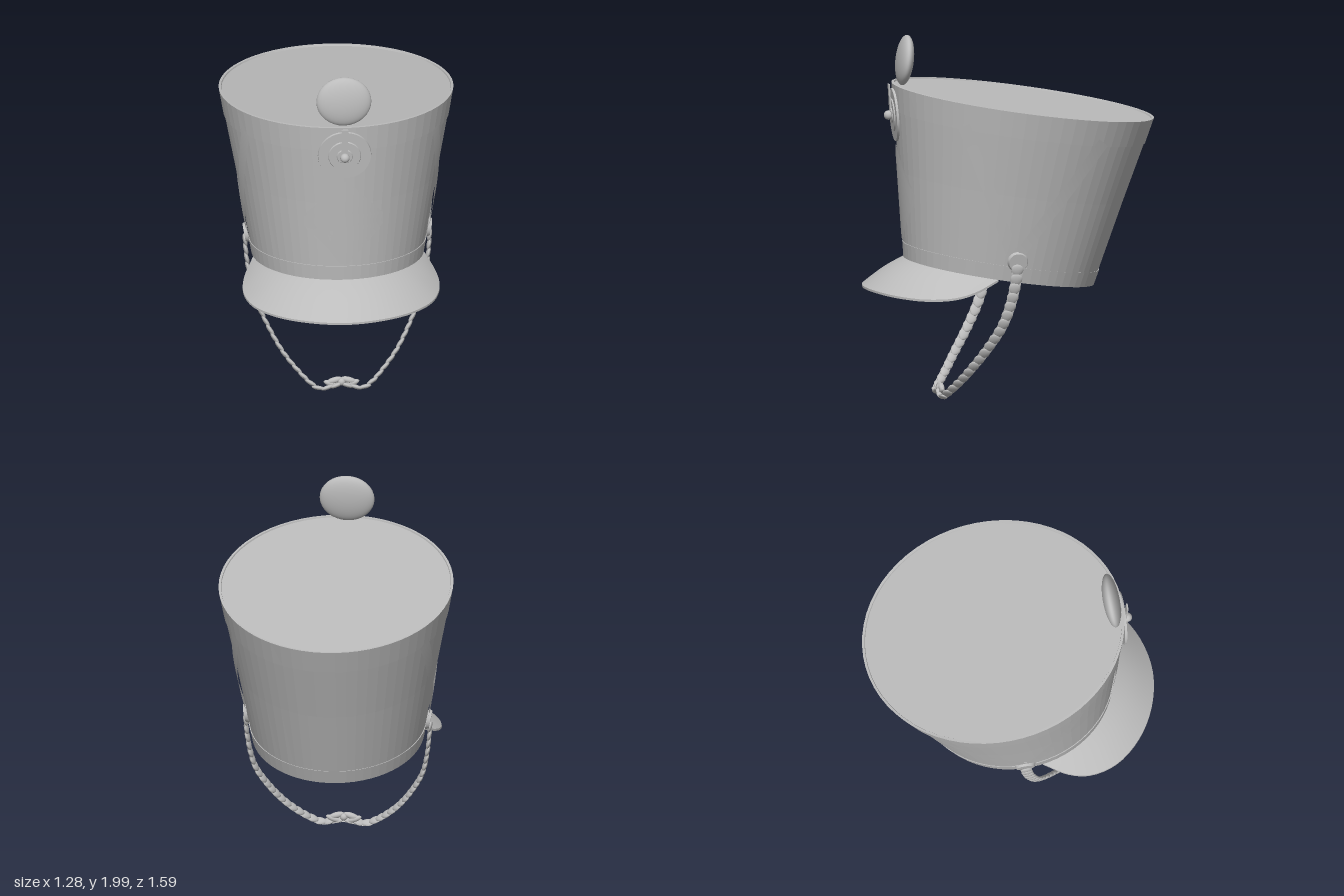
import * as THREE from 'three';

const grey = new THREE.MeshStandardMaterial({ color: 0xbcbcbc, side: THREE.DoubleSide });
grey.name = 'plain grey';

// Surface from a rule f(u, v) -> [x, y, z]; flat gives facets
function grid(nu, nv, f, flat = false) {
  const pos = [], idx = [];
  for (let j = 0; j <= nv; j++)
    for (let i = 0; i <= nu; i++) pos.push(...f(i / nu, j / nv));
  for (let j = 0; j < nv; j++)
    for (let i = 0; i < nu; i++) {
      const a = j * (nu + 1) + i, b = a + nu + 1;
      idx.push(a, a + 1, b, a + 1, b + 1, b);
    }
  let g = new THREE.BufferGeometry();
  g.setAttribute('position', new THREE.Float32BufferAttribute(pos, 3));
  g.setIndex(idx);
  if (flat) g = g.toNonIndexed();
  g.computeVertexNormals();
  return g;
}

// Slanted, flaring elliptical hull: t from bottom to top, angle a from the front
const lerp = THREE.MathUtils.lerp;
const dims = t => ({
  cz: lerp(0.05, -0.0825, t), rz: lerp(0.515, 0.7125, t), rx: lerp(0.465, 0.635, t),
  cy: lerp(0.70, 1.6325, t), hy: lerp(0.08, 0.1025, t),
});
function hull(t, a, off = 0) {
  const d = dims(t);
  return [(d.rx + off) * Math.sin(a), d.cy + d.hy * Math.cos(a), d.cz + (d.rz + off) * Math.cos(a)];
}
// Height fraction for a given y and cosine of the angle
const heightAt = (y, c) => (y - 0.70 - 0.08 * c) / (0.9325 + 0.0225 * c);

// Point on the hull's left side at a given y, z
function sideAt(y, z, off) {
  let t = 0.5, c = 0;
  for (let k = 0; k < 8; k++) {
    const d = dims(t);
    c = (z - d.cz) / d.rz;
    t = heightAt(y, c);
  }
  return [dims(t).rx * Math.sqrt(1 - c * c) + off, y, z];
}
// Point on the hull's front at a given x, y
function frontAt(x, y, off) {
  let t = 0.5, c = 1;
  for (let k = 0; k < 8; k++) {
    c = Math.sqrt(1 - (x / dims(t).rx) ** 2);
    t = heightAt(y, c);
  }
  const d = dims(t);
  return [x, y, d.cz + d.rz * c + off];
}

// Ring of hull cross-sections along a profile of [t, offset]
function ring(profile) {
  const n = profile.length - 1;
  return grid(64, n, (u, v) => {
    const [t, off] = profile[Math.round(v * n)];
    return hull(t, u * Math.PI * 2, off);
  }, true);
}

export function createModel() {
  const model = new THREE.Group();
  model.name = 'shakoHat';
  const add = (geo, name, parent = model) => {
    const m = new THREE.Mesh(geo, grey);
    m.name = name;
    parent.add(m);
    return m;
  };

  // Hat body, bands and crown
  add(ring([[0, 0], [0.5, -0.003], [1, 0], [1, -0.01], [0.97, -0.014], [0.5, -0.017], [0, -0.018], [0, 0]]), 'body');
  add(ring([[0.85, -0.002], [0.85, 0.004], [1, 0.003], [1, -0.003]]), 'upperBand');
  add(ring([[0, -0.002], [0, 0.004], [0.088, 0.004], [0.088, -0.002]]), 'lowerBand');
  const top = hull(0.992, Math.PI / 2);
  add(grid(64, 1, (u, v) => {
    const p = hull(0.992, u * Math.PI * 2, -0.008);
    return v < 0.5 ? p : [0, top[1], dims(0.992).cz];
  }, true), 'crown');

  // Visor: sloping sheet between the hat's lower edge and an outer curve
  const half = [[0, 0.63, 0.795], [0.2, 0.628, 0.757], [0.37, 0.62, 0.66], [0.49, 0.615, 0.52],
    [0.535, 0.625, 0.37], [0.522, 0.655, 0.25], [0.465, 0.712, 0.12]];
  const outer = new THREE.CatmullRomCurve3(
    [...half.slice(1).reverse().map(([x, y, z]) => [-x, y, z]), ...half].map(p => new THREE.Vector3(...p)));
  const visorPoint = (u, v, drop) => {
    const o = outer.getPoint(u), i = hull(0, (u * 2 - 1) * 1.434);
    const bulge = 0.012 * Math.sin(Math.PI * v) * Math.sin(Math.PI * u);
    return [lerp(i[0], o.x, v), lerp(i[1], o.y, v) + bulge - drop, lerp(i[2], o.z, v)];
  };
  const visor = new THREE.Group();
  visor.name = 'visor';
  model.add(visor);
  add(grid(48, 6, (u, v) => visorPoint(u, v, 0)), 'visorTop', visor);
  add(grid(48, 6, (u, v) => visorPoint(u, v, 0.012)), 'visorUnderside', visor);
  add(grid(48, 1, (u, v) => visorPoint(u, 1, 0.012 * v)), 'visorEdge', visor);

  // Diamond front plate with clipped corners, bent to the hull
  add(grid(12, 30, (u, v) => {
    const y = lerp(0.88, 1.4, v), d = Math.abs(y - 1.14);
    const w = d < 0.035 ? 0.215 : lerp(0.215, 0.02, (d - 0.035) / 0.225);
    return frontAt((u * 2 - 1) * w, y, 0.007);
  }), 'frontPlate');

  // Pompom, flattened with its poles to front and back
  const ball = new THREE.SphereGeometry(1, 32, 20).rotateX(Math.PI / 2).scale(0.15, 0.138, 0.045);
  const pompom = add(ball, 'pompom');
  pompom.position.set(0, 1.863, 0.566);
  pompom.rotation.x = -0.13;

  // Cockade with ring, button and loop
  const cockade = new THREE.Group();
  cockade.name = 'cockade';
  cockade.position.set(0, 1.565, 0.624);
  cockade.rotation.x = 0.07;
  model.add(cockade);
  const disc = (r, rTop, h) => new THREE.CylinderGeometry(rTop, r, h, 40).rotateX(Math.PI / 2);
  add(disc(0.146, 0.144, 0.012), 'cockadeDisc', cockade);
  add(disc(0.09, 0.086, 0.008), 'cockadeRing', cockade).position.z = 0.009;
  add(disc(0.045, 0.04, 0.008), 'cockadeCentre', cockade).position.z = 0.015;
  add(new THREE.SphereGeometry(0.026, 20, 14), 'button', cockade).position.z = 0.03;
  add(new THREE.BoxGeometry(0.036, 0.17, 0.008), 'loop', cockade).position.set(0, 0.085, 0.018);

  // Chin chain: one scale is a flattened teardrop dome
  const scaleGeo = new THREE.SphereGeometry(1, 14, 10);
  const p = scaleGeo.attributes.position;
  for (let i = 0; i < p.count; i++) p.setX(i, p.getX(i) * (1 - 0.2 * p.getY(i)));
  scaleGeo.computeVertexNormals();
  const path = new THREE.CatmullRomCurve3([[0.508, 0.79, 0.02], [0.502, 0.7, 0.03], [0.487, 0.58, 0.055],
    [0.46, 0.46, 0.095], [0.4, 0.33, 0.165], [0.32, 0.2, 0.25], [0.25, 0.12, 0.305], [0.17, 0.05, 0.36],
    [0.12, 0.025, 0.38], [0, 0.045, 0.378]].map(q => new THREE.Vector3(...q)));
  const frame = u => {
    const T = path.getTangentAt(u);
    const W = new THREE.Vector3(0, 0.45, 0.9).addScaledVector(T, -T.dot(new THREE.Vector3(0, 0.45, 0.9))).normalize();
    return { P: path.getPointAt(u), T, W, N: W.clone().cross(T).negate() };
  };

  for (const s of [1, -1]) {
    const side = new THREE.Group();
    side.name = s > 0 ? 'leftSide' : 'rightSide';
    side.scale.x = s;
    model.add(side);

    // V straps: each from two top corners to two bottom corners, given as [z, y]
    const strap = (a, b, c, d, name) => add(grid(2, 20, (u, v) => {
      const z = lerp(lerp(a[0], b[0], u), lerp(c[0], d[0], u), v);
      const y = lerp(lerp(a[1], b[1], u), lerp(c[1], d[1], u), v);
      return sideAt(y, z, 0.009);
    }), name, side);
    strap([0.345, 1.555], [0.288, 1.582], [0.083, 0.85], [0.018, 0.87], 'frontStrap');
    strap([-0.425, 1.482], [-0.475, 1.437], [0.028, 0.88], [-0.012, 0.835], 'rearStrap');

    // Round boss where the straps meet
    const boss = add(new THREE.CylinderGeometry(0.05, 0.057, 0.02, 28).rotateZ(-Math.PI / 2), 'strapBoss', side);
    boss.position.set(...sideAt(0.81, 0.017, 0.012));
    boss.rotation.z = -0.18;

    // Chain backing band and overlapping scales
    add(grid(2, 40, (u, v) => {
      const f = frame(v);
      return f.P.addScaledVector(f.W, (u - 0.5) * lerp(0.06, 0.04, v)).toArray();
    }), 'chinBand', side);
    const count = 21;
    for (let i = 0; i < count; i++) {
      const u = (i + 0.5) / count, f = frame(u);
      const m = add(scaleGeo, 'chainScale', side);
      m.position.copy(f.P).addScaledVector(f.N, 0.004);
      m.quaternion.setFromRotationMatrix(new THREE.Matrix4().makeBasis(
        f.W, f.T, f.W.clone().cross(f.T)));
      m.rotateX(-0.15);
      m.scale.set(lerp(0.033, 0.023, u), 0.036, 0.012);
    }
    // Half of the knot under the chin
    for (const [x, y, tilt] of [[0.055, 0.05, 0.35], [0.04, 0.07, -0.3]]) {
      const k = add(new THREE.SphereGeometry(1, 14, 10), 'knotLobe', side);
      k.position.set(x, y, 0.37);
      k.rotation.z = tilt;
      k.scale.set(0.045, 0.017, 0.016);
    }
  }
  const knot = add(new THREE.SphereGeometry(0.022, 16, 12), 'knotCentre');
  knot.position.set(0, 0.062, 0.372);
  return model;
}
